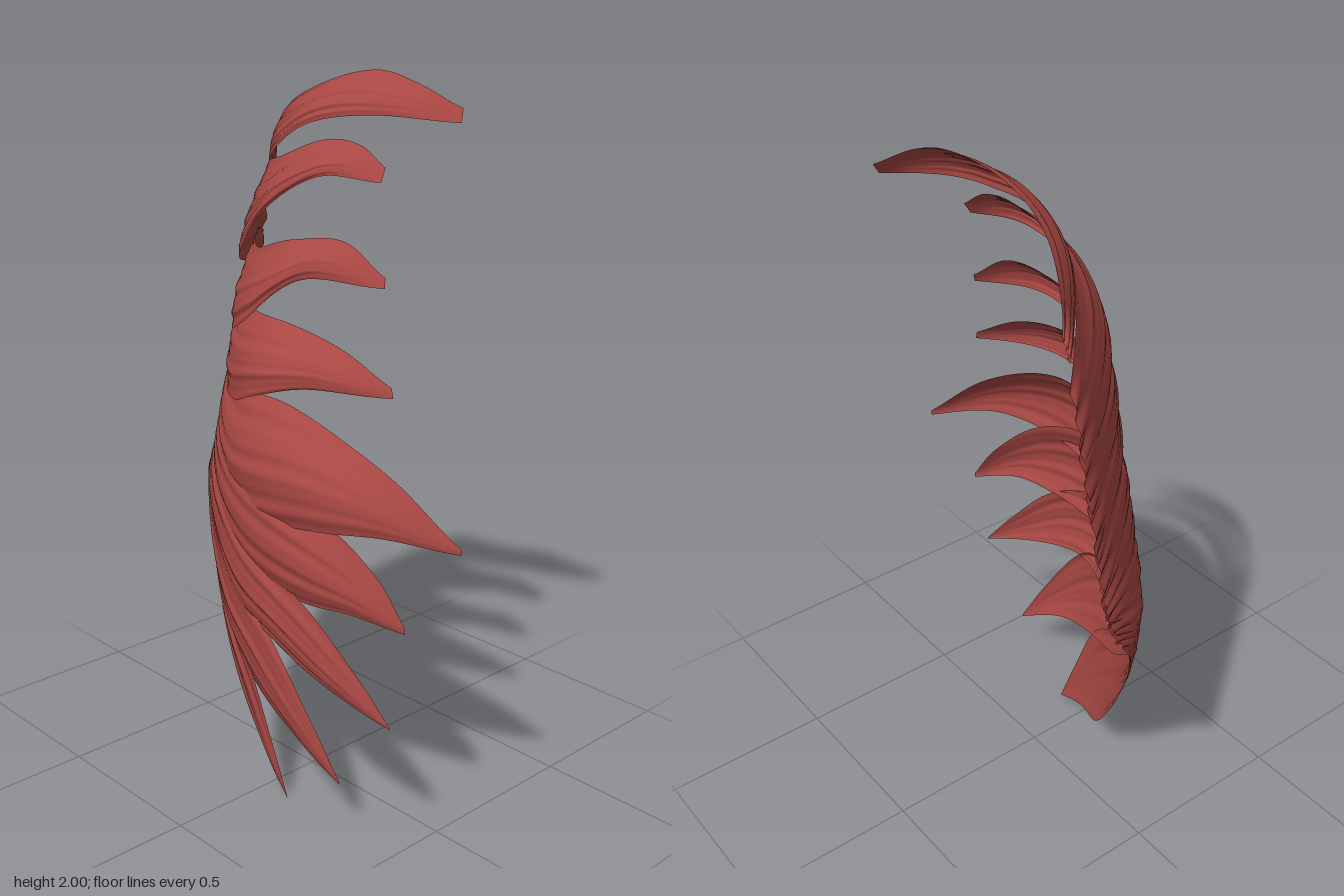
import * as THREE from 'three';

const ROWS = 44, COLS = 28;
const { lerp, clamp } = THREE.MathUtils;

// The whole wing lies on one domed shell: x as a function of y and z
function shellX(z, y) {
  const d = y - 0.95;
  const back = clamp(-z / 0.45, 0, 1);
  const lean = d > 0
    ? lerp(0.45 * d * d, 0.29 * d, back)
    : 0.12 * d * d + back * back * Math.max(0.4 * d, -0.045);
  return -0.297 + 0.8 * (z - 0.2) ** 2 + lean;
}

function edgeCurve(points) {
  return new THREE.CatmullRomCurve3(points.map(([z, y]) => new THREE.Vector3(0, y, z)));
}

// A feather is lofted between its upper and lower edge, root to tip, given as [z, y].
// curl bends the tip inward, lift rolls the upper edge inward, sag pushes the lower edge outward.
function featherGeometry({ curl, lift, sag }, upper, lower, seed) {
  const top = edgeCurve(upper), bottom = edgeCurve(lower);
  const positions = [], index = [];
  for (let i = 0; i <= ROWS; i++) {
    const t = i / ROWS;
    const a = top.getPoint(t), b = bottom.getPoint(t);
    const taper = Math.sin(Math.PI * Math.min(1, 0.06 + t * 0.94));
    const bend = curl * Math.max(0, (t - 0.5) / 0.5) ** 2;
    const roll = lift * Math.sin(Math.PI * t * t);
    const drop = sag * Math.sin(Math.PI * t);
    for (let j = 0; j <= COLS; j++) {
      const v = j / COLS;
      const p = a.clone().lerp(b, v);
      const cup = -0.022 * Math.sin(Math.PI * v);
      const tilt = -0.01 * (1 - 2 * v);
      const barbs = 0.003 * Math.sin(v * 23 + seed + 2 * t) + 0.002 * Math.sin(v * 41 - seed + 5 * t);
      const ragged = 0.007 * Math.sin(v * 19 + seed * 2) * Math.max(0, 1 - t * 8);
      const x = shellX(p.z, p.y) + (cup + tilt + barbs * taper) * taper + bend
        + roll * (1 - v) ** 2 - drop * (0.4 + 0.6 * v);
      positions.push(x, p.y, p.z + ragged);
      if (i < ROWS && j < COLS) {
        const k = i * (COLS + 1) + j, n = k + COLS + 1;
        index.push(k, k + 1, n, k + 1, n + 1, n);
      }
    }
  }
  const geometry = new THREE.BufferGeometry();
  geometry.setAttribute('position', new THREE.Float32BufferAttribute(positions, 3));
  geometry.setIndex(index);
  geometry.computeVertexNormals();
  return geometry;
}

export function createModel() {
  const wing = new THREE.Group();
  wing.name = 'wing';
  const red = new THREE.MeshStandardMaterial({ color: 0xa84743, side: THREE.DoubleSide });
  red.name = 'feather red';

  let count = 0;
  function feather(bends, upper, lower) {
    count++;
    const mesh = new THREE.Mesh(featherGeometry(bends, upper, lower, count * 1.7), red);
    mesh.name = 'feather' + count;
    wing.add(mesh);
  }

  // Upper feathers, separated, with blunt tips curling inward
  feather({ curl: 0.18, lift: 0.03, sag: 0.06 },
    [[-0.47, 1.74], [-0.39, 1.86], [-0.2, 1.95], [0, 2.0], [0.14, 1.97], [0.25, 1.91]],
    [[-0.46, 1.66], [-0.36, 1.73], [-0.25, 1.79], [-0.1, 1.865], [0.08, 1.89], [0.27, 1.875]]);
  feather({ curl: 0.07, lift: 0.02, sag: 0.08 },
    [[-0.5, 1.62], [-0.43, 1.71], [-0.2, 1.77], [0, 1.83], [0.11, 1.82], [0.19, 1.77]],
    [[-0.54, 1.42], [-0.4, 1.45], [-0.26, 1.51], [-0.13, 1.64], [0.03, 1.74], [0.2, 1.735]]);
  feather({ curl: 0.14, lift: 0.04, sag: 0.035 },
    [[-0.54, 1.5], [-0.4, 1.54], [-0.25, 1.52], [0, 1.58], [0.16, 1.59], [0.28, 1.51]],
    [[-0.57, 1.3], [-0.4, 1.28], [-0.25, 1.3], [-0.1, 1.36], [0.08, 1.49], [0.29, 1.485]]);
  feather({ curl: 0.13, lift: 0.06, sag: 0.01 },
    [[-0.56, 1.36], [-0.4, 1.38], [-0.2, 1.37], [0.08, 1.38], [0.25, 1.34], [0.39, 1.26]],
    [[-0.6, 1.17], [-0.4, 1.14], [-0.1, 1.15], [0.05, 1.2], [0.2, 1.24], [0.4, 1.235]]);

  // Long middle feathers
  feather({ curl: 0.08, lift: 0.08, sag: 0 },
    [[-0.59, 1.23], [-0.4, 1.22], [-0.15, 1.18], [0.15, 1.18], [0.43, 1.06], [0.62, 0.89]],
    [[-0.62, 1.06], [-0.35, 1.0], [0, 0.88], [0.3, 0.9], [0.48, 0.91], [0.62, 0.875]]);
  feather({ curl: 0.04, lift: 0.06, sag: 0 },
    [[-0.61, 1.12], [-0.35, 1.08], [0, 1.02], [0.3, 0.92], [0.43, 0.8], [0.52, 0.67]],
    [[-0.62, 1.02], [-0.35, 0.88], [0, 0.72], [0.25, 0.69], [0.4, 0.69], [0.52, 0.655]]);

  // Lower feathers, sweeping down to the pointed foot
  feather({ curl: -0.02, lift: 0.02, sag: 0 },
    [[-0.62, 1.08], [-0.35, 0.96], [0, 0.82], [0.27, 0.68], [0.41, 0.53], [0.51, 0.4]],
    [[-0.62, 0.98], [-0.35, 0.75], [-0.1, 0.55], [0.09, 0.545], [0.32, 0.47], [0.51, 0.395]]);
  feather({ curl: -0.01, lift: 0.015, sag: 0 },
    [[-0.62, 1.04], [-0.35, 0.84], [-0.1, 0.66], [0.1, 0.55], [0.25, 0.34], [0.34, 0.175]],
    [[-0.61, 0.92], [-0.4, 0.62], [-0.2, 0.42], [-0.05, 0.35], [0.16, 0.27], [0.34, 0.165]]);
  feather({ curl: -0.01, lift: 0.01, sag: -0.02 },
    [[-0.62, 1.02], [-0.4, 0.75], [-0.2, 0.5], [-0.04, 0.36], [0.04, 0.17], [0.1, 0.005]],
    [[-0.59, 0.84], [-0.46, 0.6], [-0.33, 0.36], [-0.2, 0.18], [-0.06, 0.1], [0.1, 0]]);

  return wing;
}
